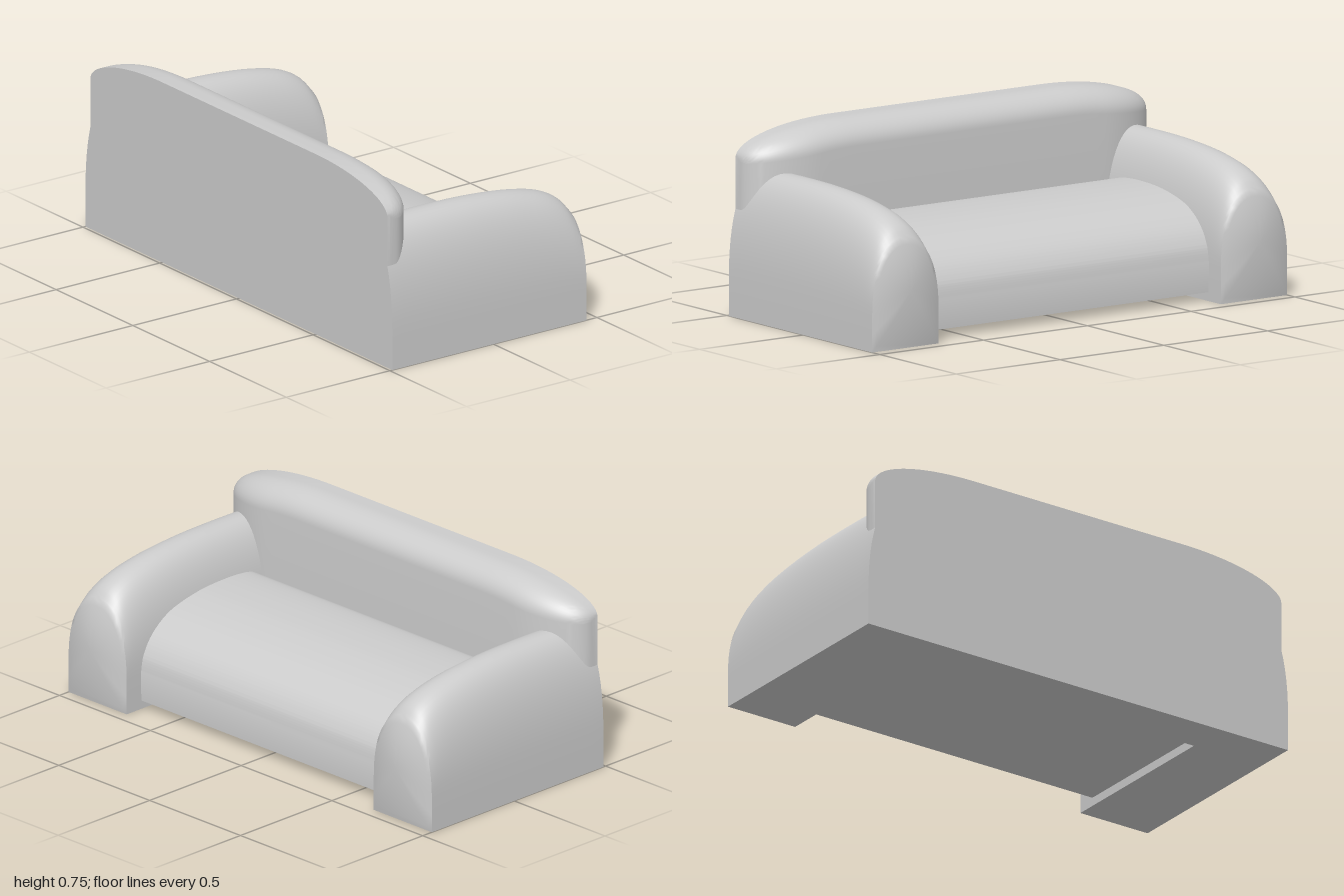
import * as THREE from 'three';
import { toCreasedNormals } from 'three/addons/utils/BufferGeometryUtils.js';

const material = new THREE.MeshStandardMaterial({ color: 0xcccccc });

// Skin a list of equal-length rings (arrays of [x, y, z]) and close both ends.
function loft(rings, startCentre, endCentre, crease) {
  const n = rings[0].length;
  const index = [];
  for (let i = 0; i < rings.length - 1; i++) {
    for (let j = 0; j < n; j++) {
      const a = i * n + j, b = i * n + (j + 1) % n;
      index.push(a, b, a + n, b, b + n, a + n);
    }
  }
  const first = rings.length * n, last = (rings.length - 1) * n;
  for (let j = 0; j < n; j++) {
    const k = (j + 1) % n;
    index.push(first, k, j, first + 1, last + j, last + k);
  }
  const geometry = new THREE.BufferGeometry();
  const points = [...rings.flat(), startCentre, endCentre].flat();
  geometry.setAttribute('position', new THREE.Float32BufferAttribute(points, 3));
  geometry.setIndex(index);
  return toCreasedNormals(geometry, crease);
}

// Arched outline of the armrest as [z, y], from one bottom corner over the top.
function archOutline(height) {
  const half = 0.16, spring = 0.14, steps = 28;
  const outline = [[-half, 0], [-half, spring / 2]];
  for (let i = 0; i <= steps; i++) {
    const t = Math.PI * (1 - i / steps);
    const c = Math.cos(t), s = Math.sin(t);
    outline.push([half * Math.sign(c) * Math.abs(c) ** 0.9, spring + (height - spring) * s ** 0.9]);
  }
  outline.push([half, spring / 2], [half, 0]);
  return outline;
}

// Armrest: arches along x with a sloping crown, then a bulging front end.
function armGeometry() {
  const crown = new THREE.CatmullRomCurve3([
    [-0.488, 0.567], [-0.2, 0.57], [0, 0.565], [0.2, 0.545], [0.34, 0.512], [0.41, 0.475], [0.45, 0.43],
  ].map(([x, y]) => new THREE.Vector3(x, y, 0)));
  const rings = crown.getPoints(30).map((p) => archOutline(p.y).map(([z, y]) => [p.x, y, z]));
  const end = archOutline(0.43), midY = 0.23;
  for (let i = 1; i <= 9; i++) {
    const k = 1 - i / 10;
    const x = 0.45 + 0.035 * (1 - k * k);
    rings.push(end.map(([z, y]) => [x, midY + (y - midY) * k, z * k]));
  }
  return loft(rings, [-0.488, 0.2, 0], [0.485, midY, 0], 1.0);
}

// Backrest: rounded-top sections along z, thinner and lower towards the ends.
function backGeometry() {
  const rear = -0.488, stations = [];
  for (let i = 0; i <= 20; i++) {
    const t = (i / 20) * Math.PI / 2;
    stations.push([0.68 + 0.288 * Math.sin(t), -0.455 + 0.147 * Math.cos(t)]);
  }
  for (let i = 4; i >= 0; i--) stations.unshift([0.5 + 0.036 * i, -0.308]);
  const all = [...stations.map(([z, d]) => [-z, d]).reverse(), ...stations];
  const rings = all.map(([z, front]) => {
    const u = Math.min(1, Math.max(0, (Math.abs(z) - 0.5) / 0.468));
    const top = 0.62 + 0.125 * Math.sqrt(1 - u * u);
    const depth = front - rear, rx = depth * 0.68, ry = 0.1 * depth / 0.18;
    const ring = [[rear, 0, z], [front, 0, z], [front, 0.3, z]];
    for (let i = 0; i <= 12; i++) {
      const t = (i / 12) * Math.PI / 2;
      ring.push([front - rx + rx * Math.cos(t), top - ry + ry * Math.sin(t), z]);
    }
    ring.push([rear, top, z]);
    return ring;
  });
  return loft(rings, [rear + 0.01, 0.3, -0.968], [rear + 0.01, 0.3, 0.968], 1.0);
}

// Seat: one soft side profile drawn across the full width between the arms.
function seatGeometry() {
  const shape = new THREE.Shape();
  shape.moveTo(-0.33, 0.035);
  shape.lineTo(0.37, 0.035);
  shape.lineTo(0.372, 0.15);
  shape.splineThru([
    [0.355, 0.22], [0.3, 0.292], [0.2, 0.352], [0.05, 0.39], [-0.1, 0.401], [-0.22, 0.395], [-0.28, 0.375], [-0.33, 0.33],
  ].map(([x, y]) => new THREE.Vector2(x, y)));
  const geometry = new THREE.ExtrudeGeometry(shape, { depth: 1.4, bevelEnabled: false, curveSegments: 40 });
  geometry.translate(0, 0, -0.7);
  return toCreasedNormals(geometry, 0.9);
}

export function createModel() {
  const sofa = new THREE.Group();
  sofa.name = 'sofa';
  const add = (name, geometry, z = 0) => {
    const mesh = new THREE.Mesh(geometry, material);
    mesh.name = name;
    mesh.position.z = z;
    sofa.add(mesh);
  };
  add('seat', seatGeometry());
  add('backrest', backGeometry());
  const arm = armGeometry();
  add('armrestNear', arm, 0.84);
  add('armrestFar', arm, -0.84);
  return sofa;
}
